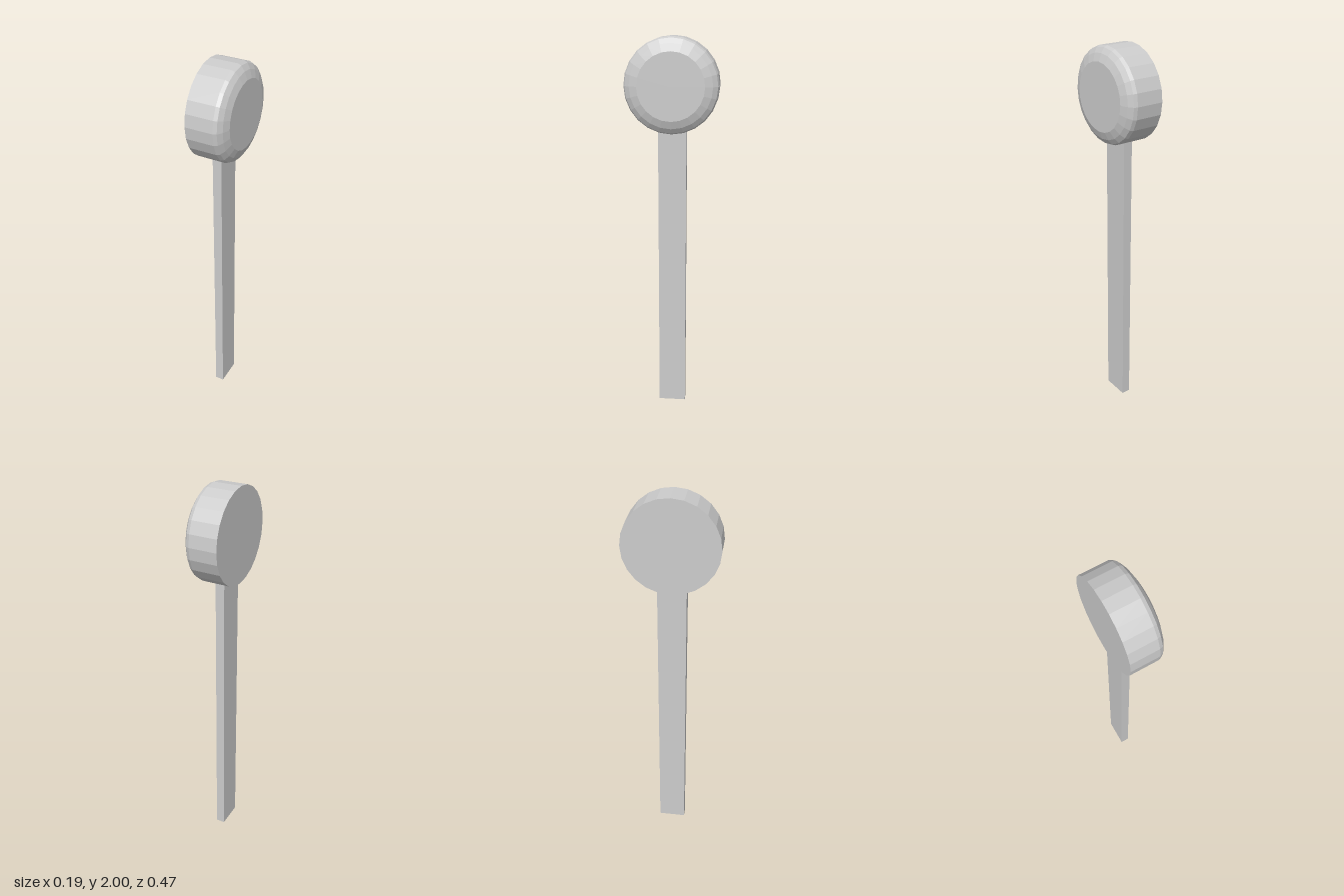
import * as THREE from 'three';

export function createModel() {
  const group = new THREE.Group();
  const material = new THREE.MeshStandardMaterial({ color: 0xcccccc, flatShading: true });

  // Round head: a disc with a flat back and a rounded rim on the +x side
  const profile = [
    [0, -0.095], [0.236, -0.095], [0.236, 0.046], [0.229, 0.063],
    [0.205, 0.08], [0.167, 0.094], [0, 0.094],
  ].map(([r, h]) => new THREE.Vector2(r, h));
  const head = new THREE.Mesh(new THREE.LatheGeometry(profile, 24), material);
  head.name = 'head';
  head.rotation.z = -Math.PI / 2; // lathe axis along +x
  head.position.y = 1.764;
  group.add(head);

  // Flat post, its top end sunk into the head
  const postHeight = 1.56;
  const post = new THREE.Mesh(new THREE.BoxGeometry(0.047, postHeight, 0.144), material);
  post.name = 'post';
  post.position.set(-0.024, postHeight / 2, 0);
  group.add(post);

  return group;
}
